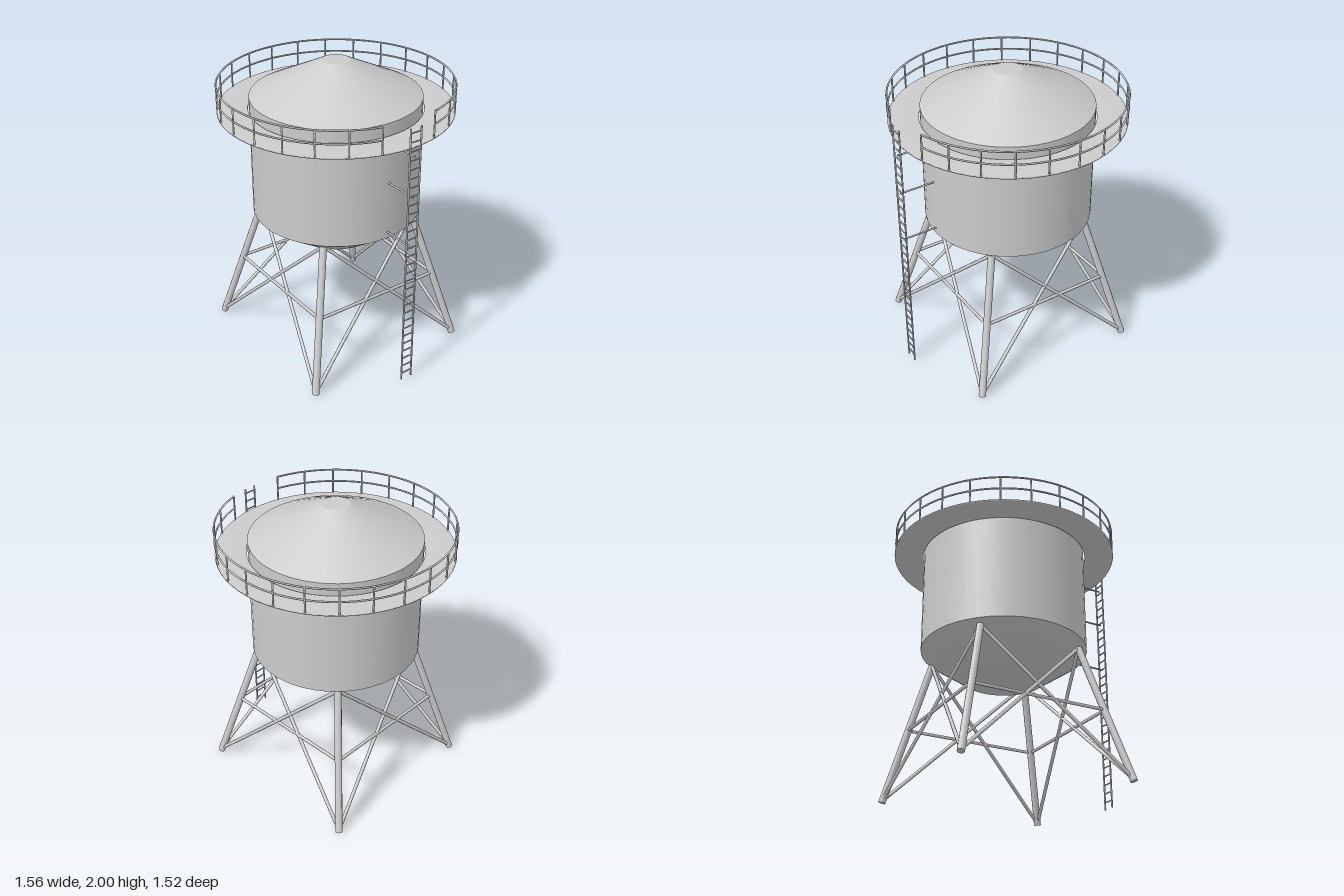
import * as THREE from 'three';

const mat = new THREE.MeshStandardMaterial({ color: 0xcccccc, side: THREE.DoubleSide });

function add(parent, name, geometry) {
  const mesh = new THREE.Mesh(geometry, mat);
  mesh.name = name;
  parent.add(mesh);
  return mesh;
}

// Round bar between two points
function bar(parent, name, a, b, radius, sides = 8) {
  const from = new THREE.Vector3(...a), to = new THREE.Vector3(...b);
  const dir = to.clone().sub(from);
  const mesh = add(parent, name, new THREE.CylinderGeometry(radius, radius, dir.length(), sides));
  mesh.position.copy(from).add(to).multiplyScalar(0.5);
  mesh.quaternion.setFromUnitVectors(new THREE.Vector3(0, 1, 0), dir.normalize());
  return mesh;
}

function lathe(parent, name, points, segments = 48) {
  return add(parent, name, new THREE.LatheGeometry(points.map(p => new THREE.Vector2(...p)), segments));
}

function group(parent, name) {
  const g = new THREE.Group();
  g.name = name;
  parent.add(g);
  return g;
}

export function createModel() {
  const model = new THREE.Group();
  model.name = 'waterTower';

  // Everything but the ladder is centred on the tank axis
  const tower = group(model, 'tower');
  tower.position.x = -0.02;

  // Tank: bottom, wall and roof
  const R = 0.555;
  const tank = group(tower, 'tank');
  lathe(tank, 'tankBottom', [[0, 0.78], [0.28, 0.78], [R, 0.97]]);
  lathe(tank, 'tankWall', [[R, 0.97], [R, 1.77]]);
  lathe(tank, 'tankRoof', [[R, 1.77], [0.09, 2]]);
  lathe(tank, 'roofCap', [[0.09, 2], [0, 2]]);

  // Walkway ring round the tank
  lathe(tower, 'walkway', [[0.563, 1.68], [0.76, 1.68], [0.76, 1.69], [0.563, 1.69], [0.563, 1.68]], 64);

  // Railing, open towards the ladder
  const railing = group(tower, 'railing');
  const railR = 0.755, step = Math.PI / 12;
  for (const y of [1.775, 1.86]) {
    const rail = add(railing, 'rail', new THREE.TorusGeometry(railR, 0.006, 6, 88, step * 22));
    rail.rotation.set(Math.PI / 2, 0, step);
    rail.rotation.order = 'XYZ';
    rail.position.y = y;
  }
  for (let i = 1; i <= 23; i++) {
    const x = railR * Math.cos(i * step), z = railR * Math.sin(i * step);
    bar(railing, 'railPost', [x, 1.685, z], [x, 1.86, z], 0.006, 6);
  }

  // Four splayed legs; each side has a cross and a horizontal brace
  const frame = group(tower, 'legFrame');
  const foot = 0.585, top = 0.36, mid = 0.472;
  for (let i = 0; i < 4; i++) {
    const side = group(frame, 'frameSide');
    side.rotation.y = i * Math.PI / 2;
    bar(side, 'leg', [foot, 0.008, foot], [top, 0.94, top], 0.024, 10);
    bar(side, 'crossBrace', [-foot, 0.02, foot], [top, 0.94, top], 0.012);
    bar(side, 'crossBrace', [foot, 0.02, foot], [-top, 0.94, top], 0.012);
    bar(side, 'horizontalBrace', [-mid, 0.49, mid], [mid, 0.49, mid], 0.011);
  }

  // Ladder with wall brackets
  const ladder = group(model, 'ladder');
  const lx = 0.772;
  for (const z of [-0.04, 0.04]) bar(ladder, 'ladderRail', [lx, 0.01, z], [lx, 1.83, z], 0.006);
  for (let i = 0; i < 30; i++) {
    const y = 0.06 + i * 0.06;
    bar(ladder, 'rung', [lx, y, -0.04], [lx, y, 0.04], 0.005, 6);
  }
  for (const y of [1.015, 1.365, 1.64]) bar(ladder, 'ladderBracket', [0.53, y, 0], [lx, y, 0], 0.006);

  return model;
}
